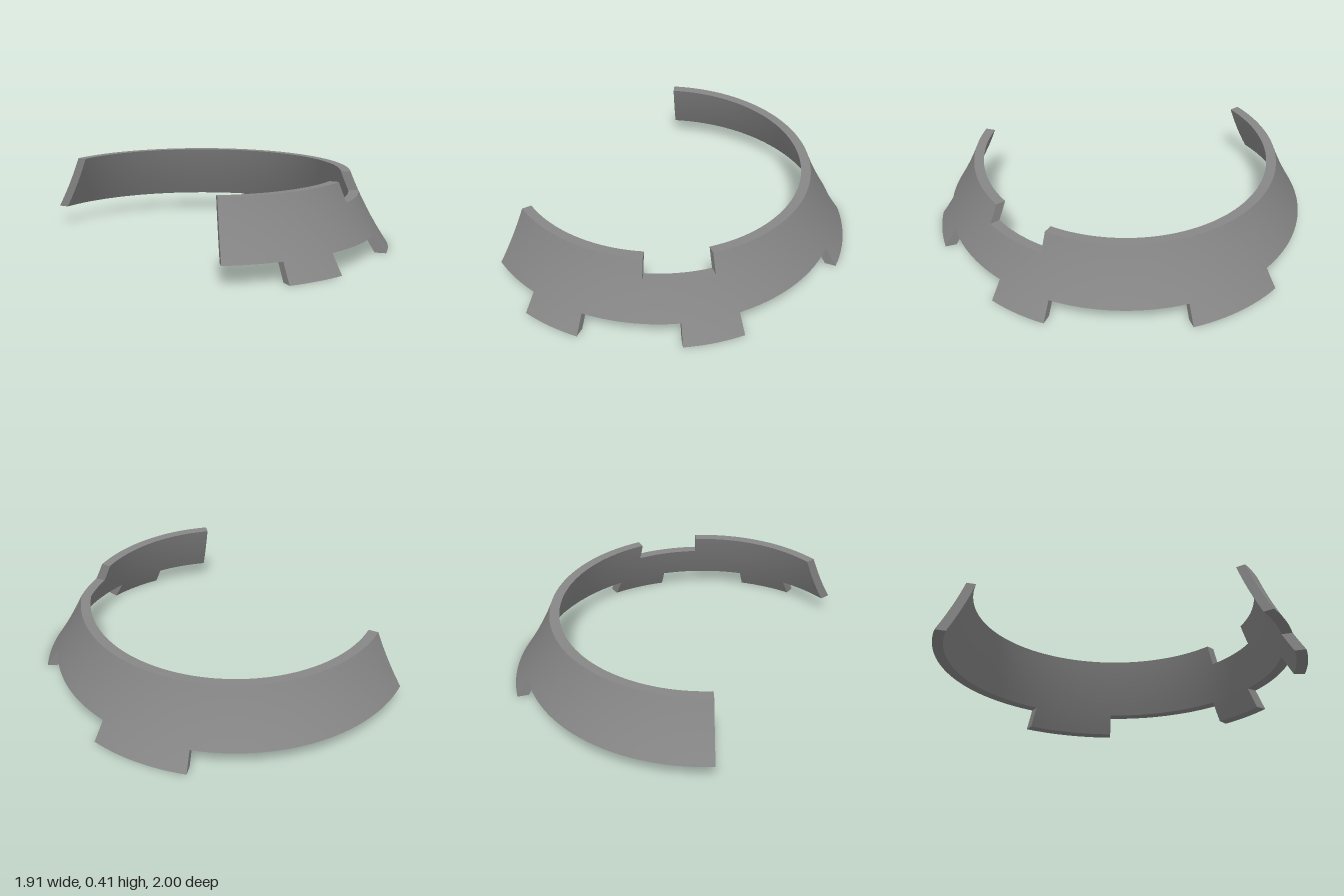
import * as THREE from 'three';
import { toCreasedNormals } from 'three/addons/utils/BufferGeometryUtils.js';

const RAD = Math.PI / 180;
const TOP = 0.412;
const CENTRE_X = -0.11;

// Flared wall profile: radius grows towards the bottom
const outer = (y) => 0.85 + 0.39 * (TOP - y) + 0.33 * (TOP - y) ** 2;
const inner = (y) => outer(y) - 0.054 - 0.02 * (TOP - y);

// Height bands: hanging tabs, continuous wall, notched rim
const levels = [0, 0.105, 0.305, TOP];
// Angles (degrees, from +x towards +z) where the outline changes
const stops = [-147.3, -69.8, -40, 2.3, 8, 20.3, 32.3, 50.3, 68.2, 86.3];
const tabs = [[-69.8, -40], [2.3, 20.3], [50.3, 68.2]];
const notch = [8, 32.3];

// Is there material in angular sector i, band j?
function solid(i, j) {
  if (i < 0 || i >= stops.length - 1 || j < 0 || j > 2) return false;
  const mid = (stops[i] + stops[i + 1]) / 2;
  const within = ([a, b]) => mid > a && mid < b;
  if (j === 0) return tabs.some(within);
  if (j === 2) return !within(notch);
  return true;
}

function wallGeometry() {
  const pos = [];
  const point = (deg, radius, y) => {
    const r = radius(y);
    return [r * Math.cos(deg * RAD), y, r * Math.sin(deg * RAD)];
  };
  const quad = (a, b, c, d, flip) => {
    if (flip) [b, d] = [d, b];
    pos.push(...a, ...b, ...c, ...a, ...c, ...d);
  };

  for (let i = 0; i < stops.length - 1; i++) {
    const na = Math.ceil((stops[i + 1] - stops[i]) / 2.5);
    const angle = (k) => THREE.MathUtils.lerp(stops[i], stops[i + 1], k / na);
    for (let j = 0; j < 3; j++) {
      if (!solid(i, j)) continue;
      const ny = 4;
      const height = (m) => THREE.MathUtils.lerp(levels[j], levels[j + 1], m / ny);

      // outer and inner skins
      for (let k = 0; k < na; k++) {
        const a0 = angle(k), a1 = angle(k + 1);
        for (let m = 0; m < ny; m++) {
          const y0 = height(m), y1 = height(m + 1);
          for (const r of [outer, inner]) {
            quad(point(a0, r, y0), point(a0, r, y1), point(a1, r, y1), point(a1, r, y0), r === inner);
          }
        }
        // exposed top and bottom edges
        for (const up of [true, false]) {
          if (solid(i, up ? j + 1 : j - 1)) continue;
          const y = levels[up ? j + 1 : j];
          quad(point(a0, inner, y), point(a1, inner, y), point(a1, outer, y), point(a0, outer, y), !up);
        }
      }

      // exposed radial ends
      for (const end of [false, true]) {
        if (solid(end ? i + 1 : i - 1, j)) continue;
        const a = stops[end ? i + 1 : i];
        for (let m = 0; m < ny; m++) {
          const y0 = height(m), y1 = height(m + 1);
          quad(point(a, inner, y0), point(a, inner, y1), point(a, outer, y1), point(a, outer, y0), end);
        }
      }
    }
  }

  const geometry = new THREE.BufferGeometry();
  geometry.setAttribute('position', new THREE.Float32BufferAttribute(pos, 3));
  return toCreasedNormals(geometry, 0.5);
}

export function createModel() {
  const model = new THREE.Group();
  model.name = 'brokenCollar';

  // Open flared ring with hanging tabs and a notch in the rim
  const wall = new THREE.Mesh(wallGeometry(), new THREE.MeshStandardMaterial({ color: 0x868686 }));
  wall.name = 'flaredRingWall';
  wall.position.x = CENTRE_X;
  model.add(wall);
  return model;
}
